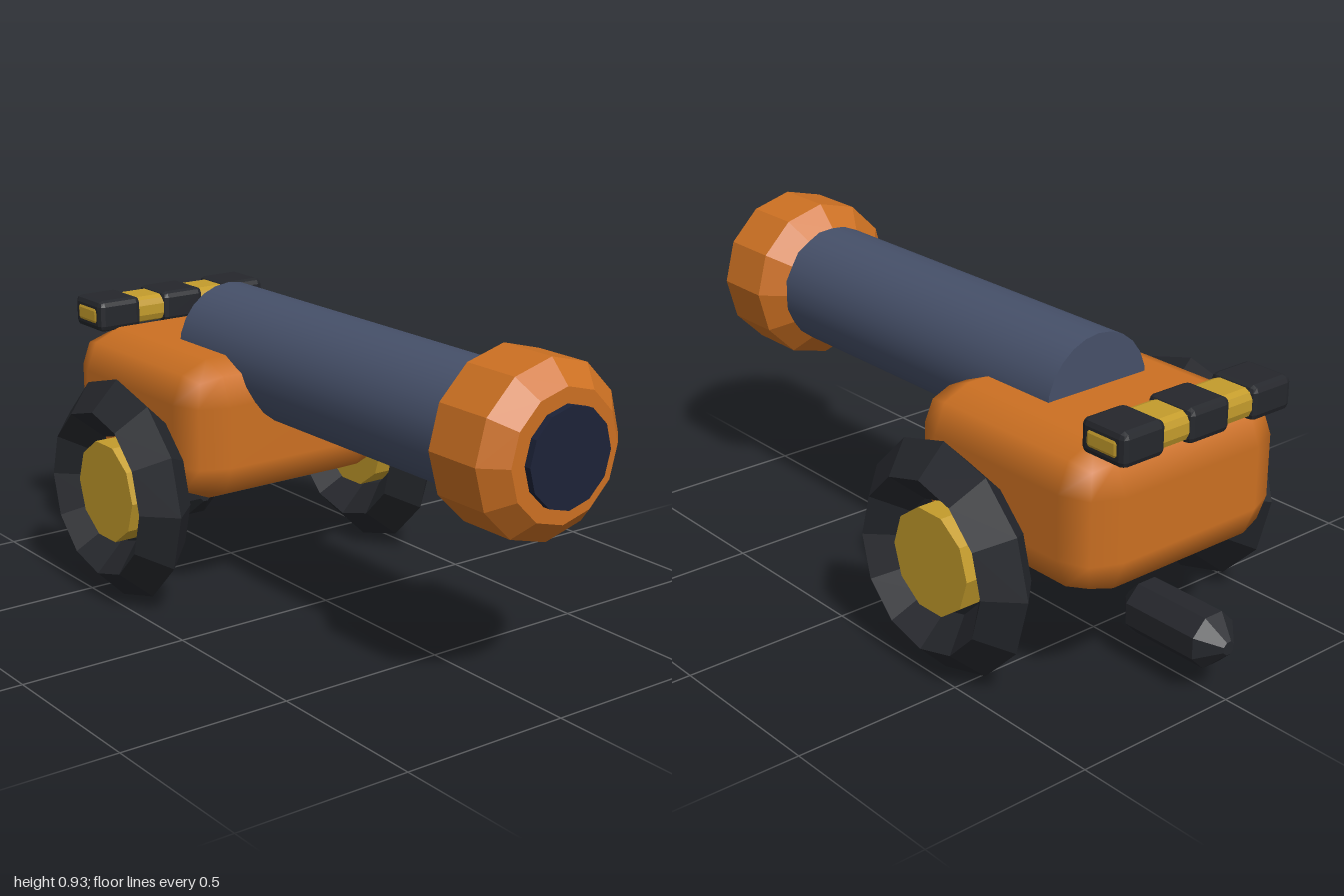
import * as THREE from 'three';
import { RoundedBoxGeometry } from 'three/addons/geometries/RoundedBoxGeometry.js';

const material = (color, flatShading = false) => new THREE.MeshStandardMaterial({ color, flatShading });

// Solid of revolution around the z axis; profile is [radius, z] from back to front
function turned(profile, sides) {
  const points = profile.map(([r, z]) => new THREE.Vector2(r, z));
  return new THREE.LatheGeometry(points, sides).rotateX(Math.PI / 2);
}

export function createModel() {
  const model = new THREE.Group();
  const orange = material(0xcc7022);
  const orangeFlat = material(0xcc7022, true);
  const steel = material(0x465069);
  const navy = material(0x1c2238, true);
  const black = material(0x25272c, true);
  const yellow = material(0xc49c2c, true);

  function add(name, geometry, mat, x = 0, y = 0, z = 0, parent = model) {
    const mesh = new THREE.Mesh(geometry, mat);
    mesh.name = name;
    mesh.position.set(x, y, z);
    parent.add(mesh);
    return mesh;
  }

  // Bevelled carriage body
  add('body', new RoundedBoxGeometry(0.72, 0.42, 0.72, 1, 0.12), orange, 0, 0.51, -0.49);

  // Barrel, muzzle band and dark bore disc share one axis
  const barrelY = 0.692;
  add('barrel', new THREE.CylinderGeometry(0.178, 0.178, 1.24, 24).rotateX(Math.PI / 2), steel, 0, barrelY, 0.13);
  add('muzzleBand', turned(
    [[0, 0.685], [0.178, 0.685], [0.24, 0.745], [0.24, 0.92], [0.178, 0.98], [0, 0.98]], 12),
    orangeFlat, 0, barrelY, 0);
  add('bore', new THREE.CylinderGeometry(0.135, 0.135, 0.1, 12).rotateX(Math.PI / 2), navy, 0, barrelY, 0.95);

  // Wheels: diamond-section tyre around a recessed hub
  for (const side of [1, -1]) {
    const wheel = new THREE.Group();
    wheel.name = side > 0 ? 'leftWheel' : 'rightWheel';
    wheel.position.set(side * 0.45, 0.33, -0.4);
    add('tyre', new THREE.TorusGeometry(0.245, 0.085, 4, 12).rotateY(Math.PI / 2), black, 0, 0, 0, wheel);
    add('hub', new THREE.CylinderGeometry(0.15, 0.15, 0.1, 10).rotateZ(Math.PI / 2), yellow, 0, 0, 0, wheel);
    model.add(wheel);
  }

  // Rear handle: yellow bar with three black grips
  const handle = new THREE.Group();
  handle.name = 'rearHandle';
  handle.position.set(0, 0.753, -0.82);
  add('bar', new RoundedBoxGeometry(0.606, 0.08, 0.14, 1, 0.025), yellow, 0, 0, 0, handle);
  for (const x of [-0.227, 0, 0.227]) {
    add('grip', new RoundedBoxGeometry(0.146, 0.096, 0.154, 1, 0.018), black, x, 0, 0, handle);
  }
  model.add(handle);

  // Octagonal trail pod low at the rear
  const pod = turned(
    [[0, -0.18], [0.02, -0.18], [0.08, -0.122], [0.08, 0.122], [0.02, 0.18], [0, 0.18]], 8);
  add('trailPod', pod.rotateZ(Math.PI / 8), black, 0, 0.153, -0.82);

  return model;
}
